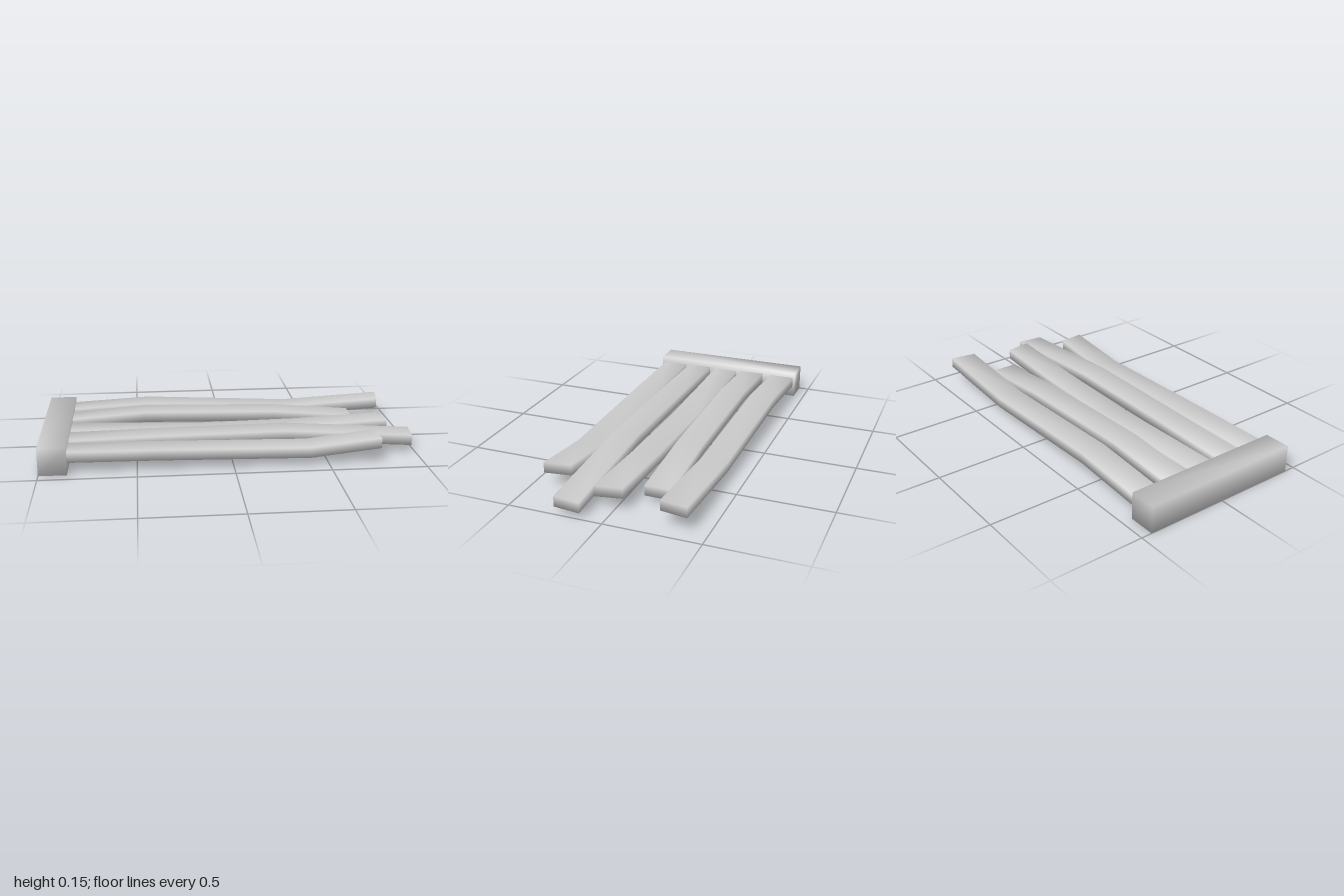
import * as THREE from 'three';

const material = new THREE.MeshStandardMaterial({ color: 0xcccccc });

// Lofts a rectangular bar along x. Sections: [x, yCentre, zCentre]; skew slants the far end.
function bar(name, sections, height, width, skew = 0) {
  const pos = [], idx = [], last = sections.length - 1;
  sections.forEach(([x, y, z], i) => {
    for (const [sy, sz] of [[-1, 1], [-1, -1], [1, -1], [1, 1]]) {
      pos.push(x + (i === last ? sz * skew : 0), y + sy * height / 2, z + sz * width / 2);
    }
  });
  for (let i = 0; i < last; i++) {
    for (let j = 0; j < 4; j++) {
      const a = i * 4 + j, b = i * 4 + (j + 1) % 4;
      idx.push(a, b, a + 4, b, b + 4, a + 4);
    }
  }
  const e = last * 4;
  idx.push(0, 2, 1, 0, 3, 2, e, e + 1, e + 2, e, e + 2, e + 3);
  const geo = new THREE.BufferGeometry();
  geo.setAttribute('position', new THREE.Float32BufferAttribute(pos, 3));
  geo.setIndex(idx);
  geo.computeVertexNormals(); // shared corners give the soft shading
  const mesh = new THREE.Mesh(geo, material);
  mesh.name = name;
  return mesh;
}

// Warped planks: z at both ends, end x, end slant, and bends as [x, y]
const planks = [
  { z: [-0.36, -0.333], end: 0.93, skew: -0.011, bends: [[-0.43, 0.115], [0.38, 0.078]], endY: 0.111 },
  { z: [-0.165, -0.175], end: 0.732, skew: 0, bends: [[-0.45, 0.12], [0.28, 0.103]], endY: 0.063 },
  { z: [0.01, 0.024], end: 0.872, skew: 0.013, bends: [[-0.15, 0.065], [0.4, 0.075]], endY: 0.098 },
  { z: [0.185, 0.188], end: 0.992, skew: -0.008, bends: [[-0.4, 0.099], [0.3, 0.107]], endY: 0.06 },
  { z: [0.35, 0.353], end: 0.763, skew: 0.01, bends: [[-0.4, 0.083], [0.4, 0.069]], endY: 0.11 },
];

export function createModel() {
  const group = new THREE.Group();
  group.name = 'plankPlatform';

  // Cross beam
  group.add(bar('crossBeam', [[-1, 0.0735, 0], [-0.855, 0.0735, 0]], 0.147, 0.885));

  // Planks rooted inside the beam
  const startX = -0.93;
  planks.forEach(({ z, end, skew, bends, endY }, i) => {
    const sections = [[startX, 0.087], ...bends, [end, endY]].map(([x, y]) =>
      [x, y, THREE.MathUtils.mapLinear(x, startX, end, z[0], z[1])]);
    group.add(bar(`plank${i + 1}`, sections, 0.056, 0.142, skew));
  });
  return group;
}
